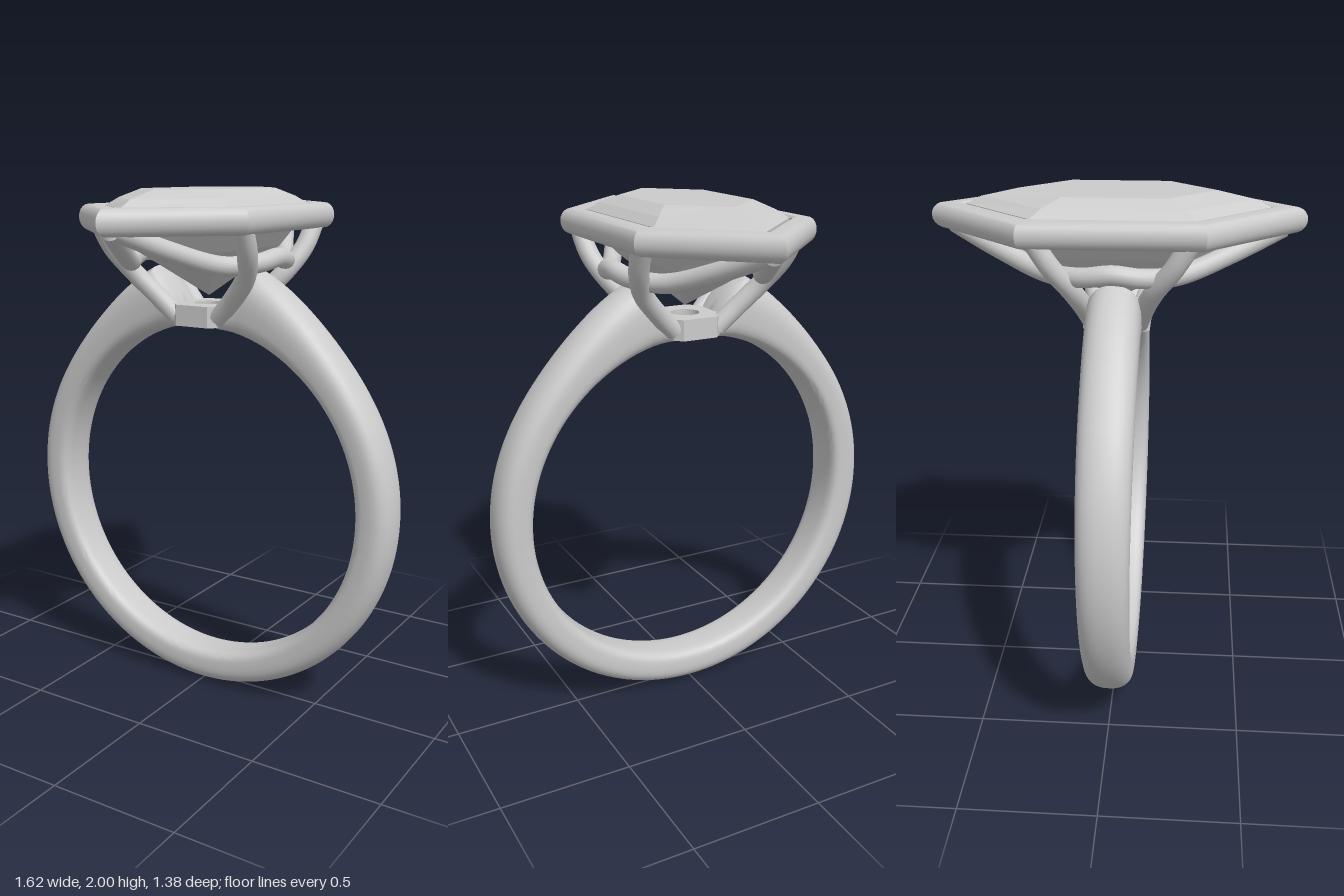
import * as THREE from 'three';
import { toCreasedNormals } from 'three/addons/utils/BufferGeometryUtils.js';

const V = (x, y, z) => new THREE.Vector3(x, y, z);
const metal = new THREE.MeshStandardMaterial({ color: 0xcccccc });
const stone = new THREE.MeshStandardMaterial({ color: 0xcccccc, flatShading: true });

// Skin a stack of equal-length rings; joins last to first (loop) or fans over both ends
function loft(rings, loop, crease) {
  const n = rings[0].length, m = rings.length, pts = rings.flat(), idx = [];
  for (let j = 0; j < (loop ? m : m - 1); j++) {
    for (let i = 0; i < n; i++) {
      const k = (i + 1) % n, u = ((j + 1) % m) * n, l = j * n;
      idx.push(l + i, l + k, u + k, l + i, u + k, u + i);
    }
  }
  if (!loop) {
    for (let i = 1; i < n - 1; i++) {
      const t = (m - 1) * n;
      idx.push(0, i + 1, i, t, t + i, t + i + 1);
    }
  }
  const geo = new THREE.BufferGeometry().setFromPoints(pts);
  geo.setIndex(idx);
  return toCreasedNormals(geo, crease);
}

// Elongated hexagon: half width c, tip at T, side corners at d
const hex = (c, T, d, y) => [
  V(c, y, -d), V(0, y, -T), V(-c, y, -d), V(-c, y, d), V(0, y, T), V(c, y, d)
];
// The setting's outline moved inward by t
const inset = (t, y) => hex(0.365 - t, 0.69 - 1.414 * t, 0.325 - 0.414 * t, y);

function add(group, name, geo, mat = metal) {
  const mesh = new THREE.Mesh(geo, mat);
  mesh.name = name;
  group.add(mesh);
  return mesh;
}

function tube(points, radius, segments) {
  return new THREE.TubeGeometry(new THREE.CatmullRomCurve3(points), segments, radius, 16);
}

// Band: rounded section that swells toward the shoulders, then drops to the base
function bandGeometry() {
  const cy = 0.815, inner = 0.67, start = 0.13, steps = 144, sides = 32, rings = [];
  const pow = (v, e) => Math.sign(v) * Math.pow(Math.abs(v), e);
  for (let j = 0; j <= steps; j++) {
    const a = start + (j / steps) * (2 * Math.PI - 2 * start);
    const fromTop = Math.min(a, 2 * Math.PI - a);
    const c = Math.max(0, Math.cos(a));
    const thick = Math.min(0.14 + 0.135 * c ** 7, 0.075 + 1.6 * (fromTop - start));
    const half = 0.093 + 0.007 * Math.cos(a);
    const ring = [];
    for (let i = 0; i < sides; i++) {
      const p = (i / sides) * 2 * Math.PI;
      const e = Math.cos(p) > 0 ? 0.85 : 0.5;
      const r = inner + thick / 2 + (thick / 2) * pow(Math.cos(p), e);
      ring.push(V(Math.sin(a) * r, cy + Math.cos(a) * r, half * pow(Math.sin(p), e)));
    }
    rings.push(ring);
  }
  return loft(rings, false, 0.8);
}

// Base: small eight-sided collar with a round hole
function baseGeometry() {
  const s = new THREE.Shape([
    [0.12, 0.07], [0.07, 0.125], [-0.07, 0.125], [-0.12, 0.07],
    [-0.12, -0.07], [-0.07, -0.125], [0.07, -0.125], [0.12, -0.07]
  ].map(([x, y]) => new THREE.Vector2(x, y)));
  s.holes.push(new THREE.Path().absarc(0, 0, 0.055, 0, Math.PI * 2, true));
  const geo = new THREE.ExtrudeGeometry(s, { depth: 0.08, bevelEnabled: false, curveSegments: 20 });
  return geo.rotateX(-Math.PI / 2).translate(0, 1.49, 0);
}

export function createModel() {
  const ring = new THREE.Group();
  ring.name = 'ring';
  add(ring, 'band', bandGeometry());

  const setting = new THREE.Group();
  setting.name = 'setting';
  ring.add(setting);
  add(setting, 'base', baseGeometry());

  // Bezel: outer wall rounded, ledge inside for the stone
  const profile = [[0.04, 1.85]];
  for (let i = 0; i <= 10; i++) {
    const a = -Math.PI / 2 + (i / 10) * Math.PI;
    profile.push([0.035 * (1 - Math.cos(a)), 1.8975 + 0.0475 * Math.sin(a)]);
  }
  profile.push([0.072, 1.945], [0.082, 1.938], [0.082, 1.915], [0.098, 1.915], [0.098, 1.85]);
  add(setting, 'bezel', loft(profile.map(([t, y]) => inset(t, y)), true, 0.6));

  // Four prongs sweeping from the bezel corners to the base
  for (const sx of [1, -1]) {
    for (const sz of [1, -1]) {
      const path = [
        [0.31, 1.88, 0.275], [0.295, 1.78, 0.215], [0.25, 1.69, 0.15],
        [0.175, 1.605, 0.11], [0.095, 1.525, 0.085]
      ].map(([x, y, z]) => V(x * sx, y, z * sz));
      add(setting, 'prong', tube(path, 0.037, 32));
    }
  }

  // Gallery rail: one half per side, tip to tip, dipping beside the stone
  const half = [[0.01, 1.87, 0.6], [0.1, 1.795, 0.42], [0.2, 1.735, 0.23], [0.275, 1.74, 0.1]];
  for (const sx of [1, -1]) {
    const path = [
      ...half.map(([x, y, z]) => V(x * sx, y, z)),
      V(0.295 * sx, 1.755, 0),
      ...half.map(([x, y, z]) => V(x * sx, y, -z)).reverse()
    ];
    add(setting, 'galleryRail', tube(path, 0.036, 64));
  }

  // Stone: pointed pavilion, girdle, crown and flat table
  add(ring, 'stone', loft([
    hex(0.002, 0.002, 0.001, 1.6),
    hex(0.175, 0.42, 0.24, 1.78),
    inset(0.094, 1.915),
    inset(0.094, 1.94),
    hex(0.235, 0.5, 0.25, 1.969),
    hex(0.18, 0.36, 0.185, 2.0)
  ], false, 0.05), stone);

  return ring;
}
